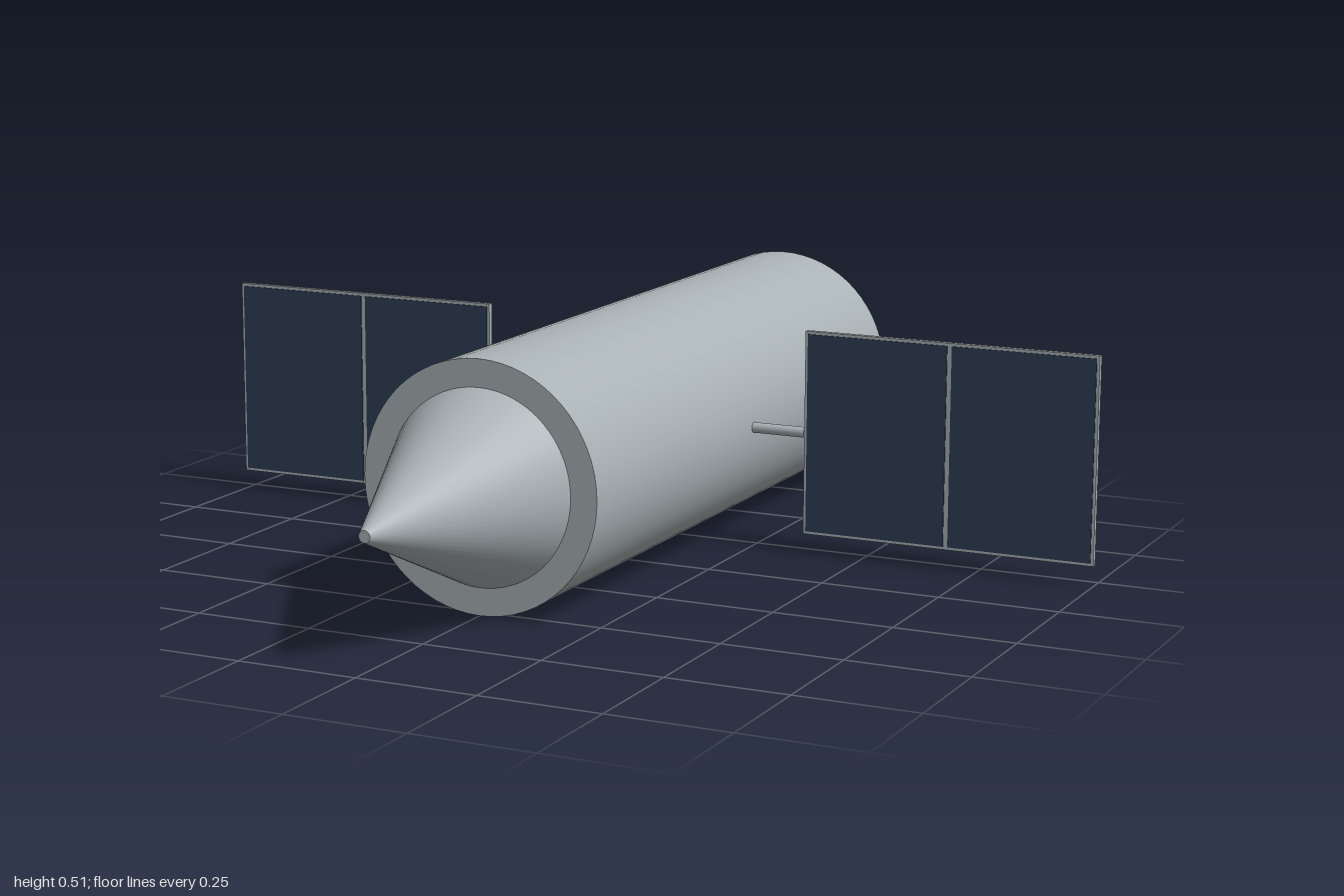
import * as THREE from 'three';

export function createModel() {
  const model = new THREE.Group();
  const hull = new THREE.MeshStandardMaterial({ color: 0xa9b2b5 });
  hull.name = 'hull grey';
  const cellBlue = new THREE.MeshStandardMaterial({ color: 0x2e3d53 });
  cellBlue.name = 'solar cell blue';

  const axisY = 0.255;
  const panelZ = -0.217;

  const add = (name, geometry, material, x, y, z, parent = model) => {
    const mesh = new THREE.Mesh(geometry, material);
    mesh.name = name;
    mesh.position.set(x, y, z);
    parent.add(mesh);
    return mesh;
  };

  // Cylindrical body and tapered nose, both lying along z
  const bodyGeo = new THREE.CylinderGeometry(0.254, 0.254, 1.485, 64).rotateX(Math.PI / 2);
  add('body', bodyGeo, hull, 0, axisY, -0.2175);
  const noseGeo = new THREE.CylinderGeometry(0.012, 0.198, 0.435, 64).rotateX(Math.PI / 2);
  add('noseCone', noseGeo, hull, 0, axisY, 0.7425);

  // Solar wings: strut, backing panel and two thin front cells per side
  for (const side of [1, -1]) {
    const wing = new THREE.Group();
    wing.name = side > 0 ? 'leftWing' : 'rightWing';
    model.add(wing);

    const strutGeo = new THREE.CylinderGeometry(0.011, 0.011, 0.13, 24).rotateZ(Math.PI / 2);
    add('strut', strutGeo, hull, side * 0.305, 0.258, panelZ, wing);
    add('panel', new THREE.BoxGeometry(0.63, 0.43, 0.012), hull, side * 0.685, 0.258, panelZ, wing);

    for (const offset of [-0.157, 0.157]) {
      add('solarCell', new THREE.BoxGeometry(0.304, 0.418, 0.003), cellBlue,
        side * 0.685 + offset, 0.258, panelZ + 0.0065, wing);
    }
  }

  return model;
}
